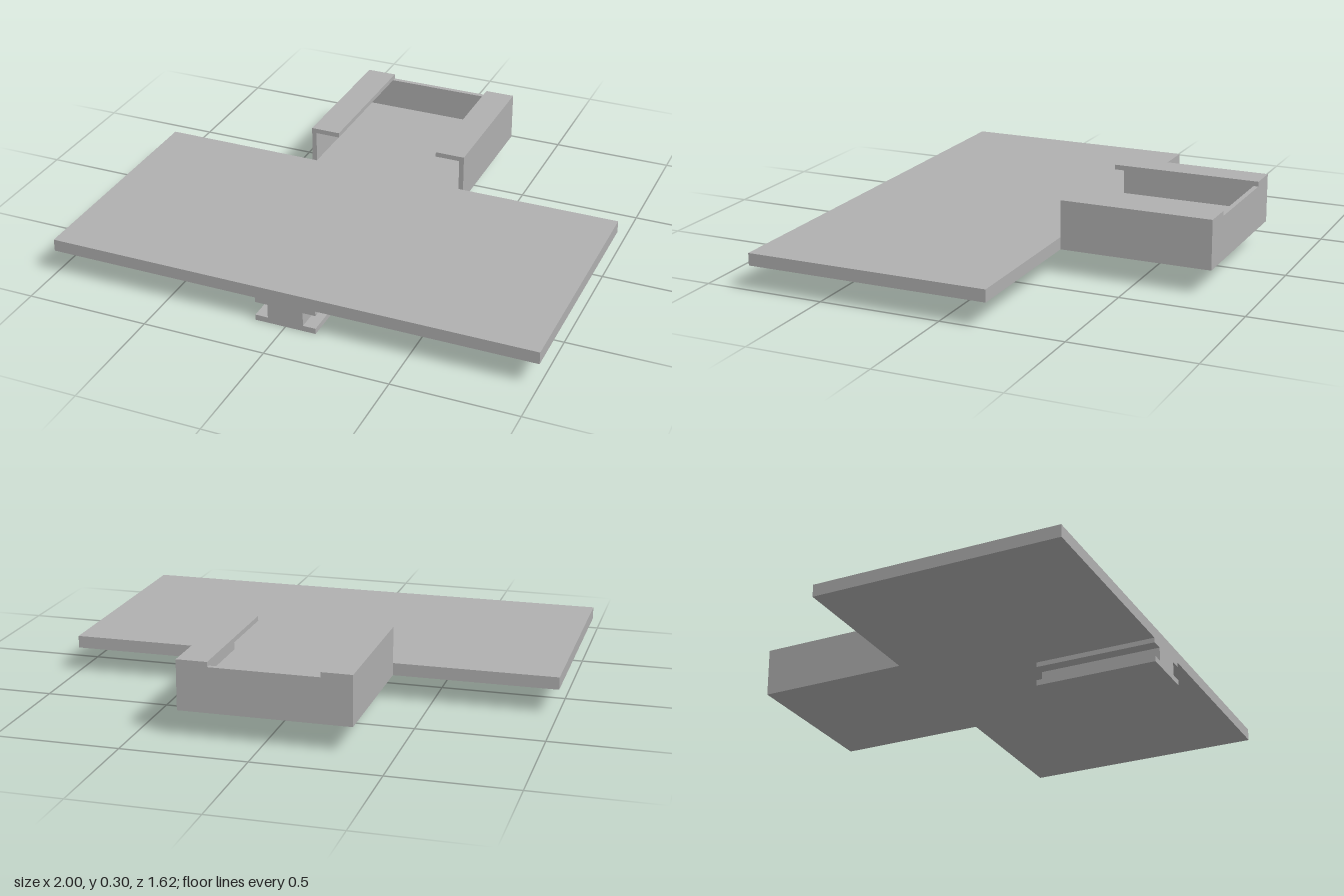
import * as THREE from 'three';

const grey = new THREE.MeshStandardMaterial({ color: 0xb0b0b0 });
grey.name = 'plain grey';

// Closed outline from one half (x > 0), mirrored across x = 0
function mirroredShape(half) {
  const left = half.map(([x, y]) => [-x, y]).reverse();
  return new THREE.Shape([...half, ...left].map(([x, y]) => new THREE.Vector2(x, y)));
}

function extrude(name, shape, depth) {
  const geometry = new THREE.ExtrudeGeometry(shape, { depth, bevelEnabled: false });
  const mesh = new THREE.Mesh(geometry, grey);
  mesh.name = name;
  return mesh;
}

export function createModel() {
  const model = new THREE.Group();
  model.name = 'mountingPlate';

  // T-shaped plate: wide front deck with a narrow rear tongue
  const plate = extrude('plate', mirroredShape([
    [1, -0.81], [1, 0.19], [0.34, 0.19], [0.34, 0.81],
  ]), 0.05);
  plate.rotation.x = -Math.PI / 2;
  plate.position.y = 0.1;
  model.add(plate);

  // Grooved rail under the front edge
  const rail = extrude('rail', mirroredShape([
    [0.125, 0], [0.125, 0.023], [0.073, 0.023], [0.073, 0.08], [0.125, 0.08], [0.125, 0.1],
  ]), 0.5);
  rail.position.z = 0.31;
  model.add(rail);

  // Side walls with inward lips around the tongue
  for (const side of [-1, 1]) {
    const points = [
      [0.32, 0.15], [0.34, 0.15], [0.34, 0.3], [0.217, 0.3], [0.217, 0.28], [0.32, 0.28],
    ].map(([x, y]) => new THREE.Vector2(side * x, y));
    const wall = extrude(side > 0 ? 'leftWall' : 'rightWall', new THREE.Shape(points), 0.62);
    wall.position.z = -0.81;
    model.add(wall);
  }

  // Rear wall closing the pocket
  const rearWall = new THREE.Mesh(new THREE.BoxGeometry(0.64, 0.13, 0.02), grey);
  rearWall.name = 'rearWall';
  rearWall.position.set(0, 0.215, -0.8);
  model.add(rearWall);

  return model;
}
